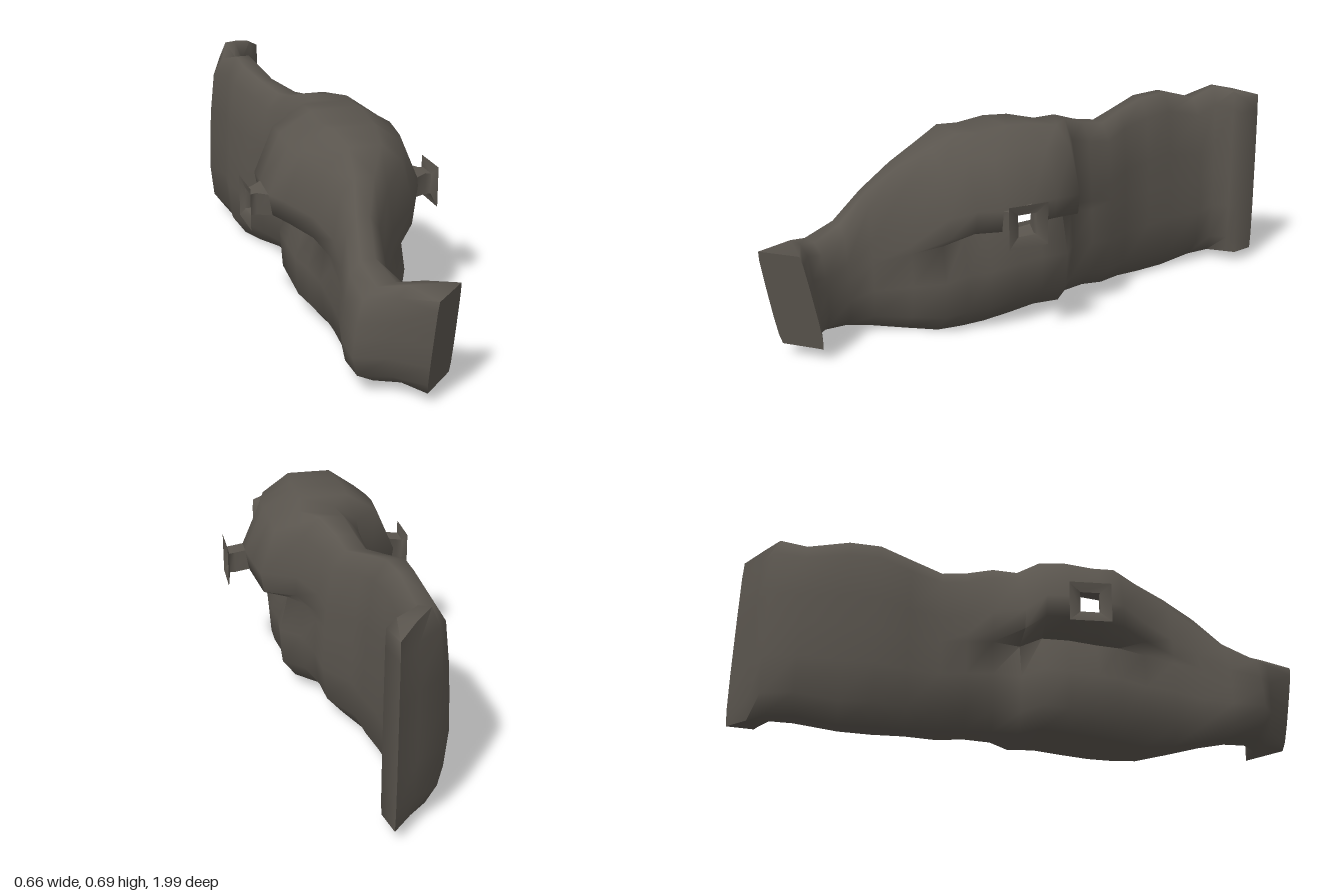
import * as THREE from 'three';
import { toCreasedNormals } from 'three/addons/utils/BufferGeometryUtils.js';

const { lerp, smoothstep } = THREE.MathUtils;
const stone = new THREE.MeshStandardMaterial({ name: 'darkStone', color: 0x5a554e });
const stoneThin = new THREE.MeshStandardMaterial({ name: 'darkStoneThin', color: 0x5a554e, side: THREE.DoubleSide });

// Height levels, with the half-width at each for a thin wall and for the overhanging head
const LEVELS = [0, 0.1, 0.3, 0.5, 0.55, 0.66, 0.9, 1];
const WALL = [0.35, 0.83, 0.97, 0.92, 0.9, 0.86, 0.68, 0.28];
const HEAD = [0.4, 0.62, 0.66, 0.51, 0.95, 1, 0.74, 0.33];
const N = LEVELS.length;

// Plan of the wall from back to front: [-x edge: x, z, +x edge: x, z, top height]
const PLAN = [
  [0, -1, 0.02, -0.9, 0.67],
  [-0.08, -0.93, 0, -0.88, 0.69],
  [-0.17, -0.88, -0.04, -0.83, 0.7],
  [-0.23, -0.76, -0.04, -0.77, 0.66],
  [-0.2, -0.62, -0.03, -0.62, 0.7],
  [-0.215, -0.51, -0.01, -0.51, 0.69],
  [-0.17, -0.4, 0, -0.4, 0.66],
  [-0.15, -0.29, 0.075, -0.29, 0.635],
  [-0.135, -0.2, 0.085, -0.2, 0.65],
  [-0.13, -0.11, 0.135, -0.1, 0.68],
  [-0.16, 0, 0.24, -0.05, 0.68],
  [-0.26, 0.06, 0.255, 0.05, 0.69],
  [-0.265, 0.15, 0.265, 0.15, 0.695],
  [-0.265, 0.25, 0.26, 0.25, 0.68],
  [-0.235, 0.33, 0.23, 0.33, 0.685],
  [-0.18, 0.42, 0.19, 0.41, 0.645],
  [-0.15, 0.52, 0.09, 0.5, 0.58],
  [-0.15, 0.61, 0.01, 0.61, 0.49],
  [-0.175, 0.71, 0, 0.69, 0.39],
  [-0.18, 0.82, 0.045, 0.78, 0.35],
  [-0.085, 0.89, 0.085, 0.845, 0.375],
  [0.01, 1, 0.135, 0.89, 0.37],
];
const HOLE_SECTION = 12, HOLE_LEVEL = 4;

// One closed loop: up the +x side, then down the -x side
function sectionLoop([lx, lz, rx, rz, top]) {
  const x = (lx + rx) / 2, z = (lz + rz) / 2;
  const head = smoothstep(z, -0.2, 0) * (1 - smoothstep(z, 0.3, 0.54));
  const square = 0.85 * smoothstep(Math.abs(z), 0.85, 0.95);
  const bottom = 0.026 - 0.02 * Math.cos((z - 0.42) * 6.6);
  const lean = 0.06 * smoothstep(z, 0.8, 0.95);
  const side = (s) => LEVELS.map((t, k) => {
    const f = s * lerp(lerp(WALL[k], HEAD[k], head), 1, square) / 2;
    return [x + f * (rx - lx), lerp(bottom, top, t), z + f * (rz - lz) - lean * (1 - t)];
  });
  return [...side(1), ...side(-1).reverse()];
}

// Join loops of equal length into a skin, leaving out the quads named by skip
function skin(loops, skip = () => false, caps = false) {
  const n = loops[0].length, index = [];
  for (let i = 0; i < loops.length - 1; i++) {
    for (let j = 0; j < n; j++) {
      if (skip(i, j)) continue;
      const a = i * n + j, b = i * n + (j + 1) % n;
      index.push(a, b, a + n, b, b + n, a + n);
    }
  }
  if (caps) {
    const last = (loops.length - 1) * n;
    for (let a = 0; a < n / 2 - 1; a++) {
      const b = a + 1, c = n - 2 - a, d = n - 1 - a;
      index.push(a, d, b, b, d, c);
      index.push(last + a, last + b, last + d, last + b, last + c, last + d);
    }
  }
  const geo = new THREE.BufferGeometry();
  geo.setAttribute('position', new THREE.Float32BufferAttribute(loops.flat(2), 3));
  geo.setIndex(index);
  return toCreasedNormals(geo, 1.35);
}

// Four-cornered ring around the spout, in the plane x
const ring = (x, y0, y1, z0, z1) => [[x, y0, z0], [x, y0, z1], [x, y1, z1], [x, y1, z0]];

export function createModel() {
  const group = new THREE.Group();
  group.name = 'rockWall';
  const loops = PLAN.map(sectionLoop);

  // Winding wall swelling into an overhanging head, open where the spouts join
  const holes = [HOLE_LEVEL, 2 * N - 2 - HOLE_LEVEL];
  const body = new THREE.Mesh(skin(loops, (i, j) => i === HOLE_SECTION && holes.includes(j), true), stone);
  body.name = 'wallBody';
  group.add(body);

  // Open flared spout on each side of the head
  const back = loops[HOLE_SECTION], front = loops[HOLE_SECTION + 1];
  for (const s of [1, -1]) {
    const low = s > 0 ? HOLE_LEVEL : 2 * N - 1 - HOLE_LEVEL;
    const high = low + s;
    const rings = [
      [back[low], front[low], front[high], back[high]],
      ring(s * 0.3, 0.382, 0.458, 0.163, 0.23),
      ring(s * 0.32, 0.382, 0.455, 0.163, 0.23),
      ring(s * 0.33, 0.345, 0.488, 0.125, 0.268),
    ];
    // Reverse the rings on the +x side so both spouts face outward
    const spout = new THREE.Mesh(skin(s > 0 ? rings.map((r) => [...r].reverse()) : rings), stoneThin);
    spout.name = s > 0 ? 'leftSpout' : 'rightSpout';
    group.add(spout);
  }
  return group;
}
